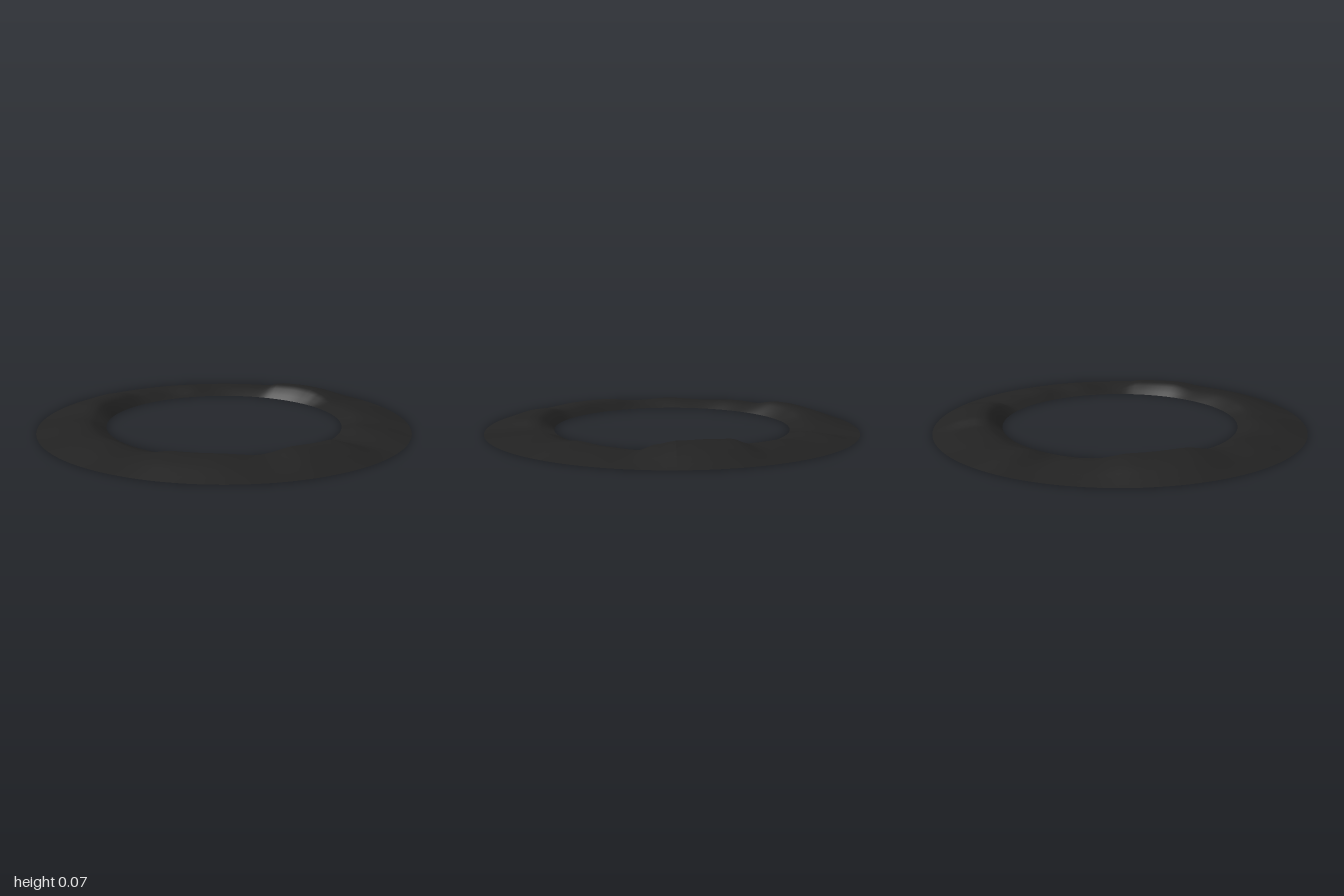
import * as THREE from 'three';

// Ridge line around the ring: [degrees from +x towards +z, height]
const RIDGE = [
  [0, 0.07], [6, 0.055], [14, 0.022], [27, 0.03], [38, 0.04], [50, 0.022], [60, 0.034],
  [75, 0.004], [90, 0.058], [107, 0.064], [120, 0.04], [135, 0.052], [150, 0.052],
  [165, 0.025], [180, 0.042], [195, 0.03], [210, 0.042], [220, 0.034], [237, 0.07],
  [255, 0.064], [270, 0.035], [287, 0.004], [297, 0.034], [308, 0.022], [320, 0.036],
  [332, 0.038], [340, 0.07], [350, 0.074], [360, 0.07],
];

// Cross-section from inner rim to outer rim: [radius, share of ridge height]
const SECTION = [
  [0.637, 0], [0.665, 0.35], [0.7, 0.75], [0.73, 1], [0.78, 0.98],
  [0.85, 0.8], [0.9, 0.55], [0.95, 0.27], [1, 0],
];

function ridgeHeight(deg) {
  const i = Math.max(1, RIDGE.findIndex(([a]) => a >= deg));
  const [a0, h0] = RIDGE[i - 1];
  const [a1, h1] = RIDGE[i];
  return THREE.MathUtils.lerp(h0, h1, THREE.MathUtils.smoothstep(deg, a0, a1));
}

export function createModel() {
  const group = new THREE.Group();
  group.name = 'hillRing';
  const darkRock = new THREE.MeshStandardMaterial({ color: 0x222222, side: THREE.DoubleSide });
  darkRock.name = 'dark rock';

  // Flat ring laid on the ground, then raised into rolling hills
  const segments = 144;
  const geometry = new THREE.RingGeometry(0.637, 1, segments, SECTION.length - 1);
  geometry.rotateX(-Math.PI / 2);
  const pos = geometry.attributes.position;
  for (let i = 0; i < pos.count; i++) {
    const [radius, share] = SECTION[Math.floor(i / (segments + 1))];
    const step = i % (segments + 1) % segments;
    const deg = (360 - (step * 360) / segments) % 360;
    const a = THREE.MathUtils.degToRad(deg);
    pos.setXYZ(i, Math.cos(a) * radius, share * ridgeHeight(deg), Math.sin(a) * radius);
  }
  geometry.computeVertexNormals();

  const hills = new THREE.Mesh(geometry, darkRock);
  hills.name = 'hills';
  group.add(hills);
  return group;
}
